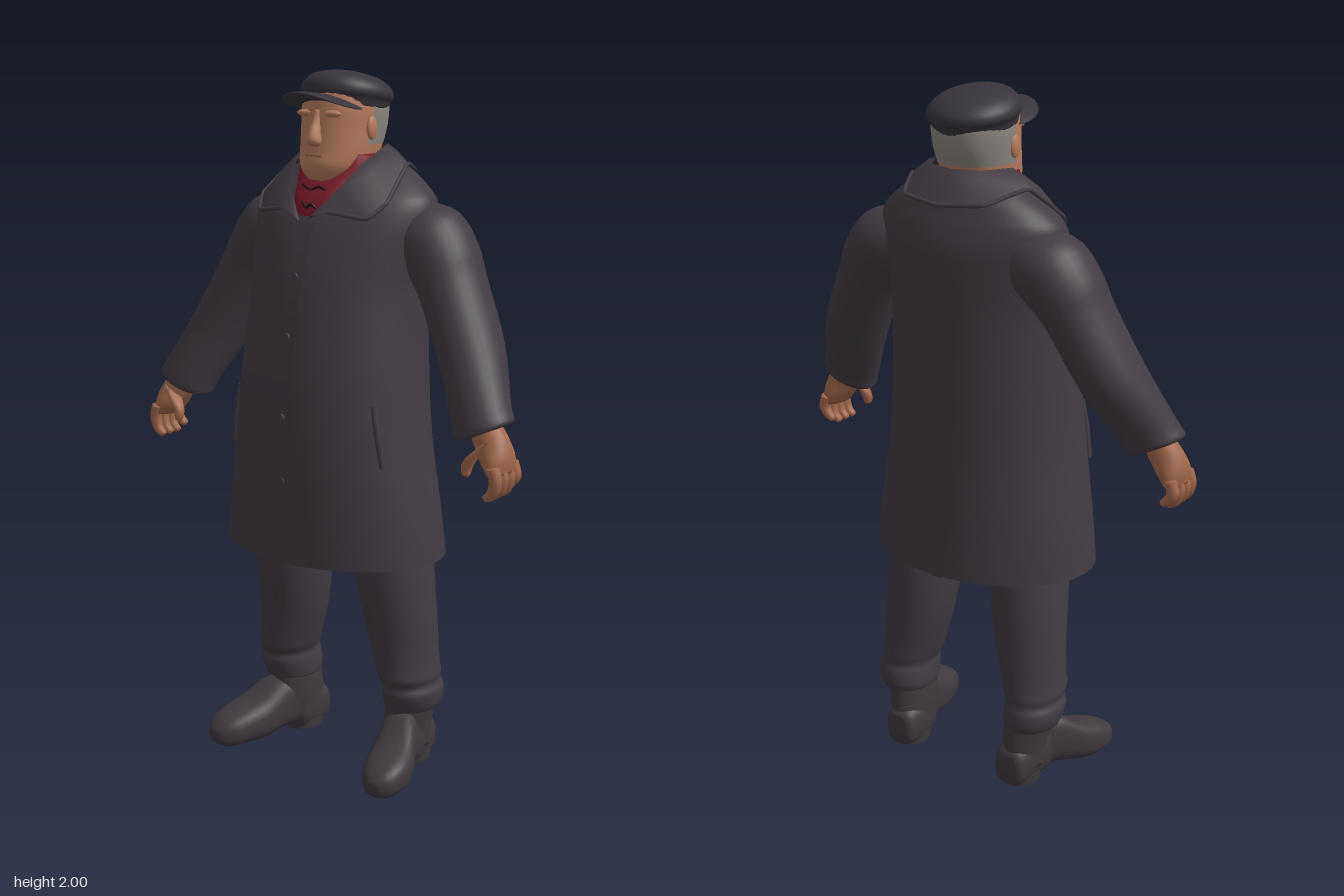
import * as THREE from 'three';

const mat = (name, color) => {
  const m = new THREE.MeshStandardMaterial({ color, side: THREE.DoubleSide });
  m.name = name;
  return m;
};
const M = {
  coat: mat('coat cloth', 0x423b42),
  trousers: mat('trouser cloth', 0x423b43),
  boots: mat('boot leather', 0x40393e),
  cap: mat('cap cloth', 0x38343b),
  face: mat('face skin', 0xb57a5e),
  hand: mat('hand skin', 0x9f674b),
  hair: mat('grey hair', 0x8b857e),
  scarf: mat('scarf red', 0x7c1c2c),
  dark: mat('scarf pattern', 0x2c1218),
};

// Indexed grid of points; winding is turned to face away from the centre.
function grid(rows, center, closed = false, cap = false) {
  const n = rows[0].length, pos = rows.flat().flatMap(p => p.toArray()), idx = [];
  for (let i = 0; i < rows.length - 1; i++)
    for (let j = 0; j < (closed ? n : n - 1); j++) {
      const k = (j + 1) % n, a = i * n + j, b = i * n + k, c = a + n, d = b + n;
      idx.push(a, b, d, a, d, c);
    }
  if (cap) [0, rows.length - 1].forEach((r, e) => {
    const mid = rows[r].reduce((s, p) => s.add(p), new THREE.Vector3()).divideScalar(n);
    const m = pos.length / 3;
    pos.push(...mid.toArray());
    for (let j = 0; j < n; j++) {
      const a = r * n + j, b = r * n + (j + 1) % n;
      idx.push(...(e ? [a, b, m] : [b, a, m]));
    }
  });
  const v = i => new THREE.Vector3().fromArray(pos, i * 3).sub(center);
  let vol = 0;
  for (let i = 0; i < idx.length; i += 3) vol += v(idx[i]).dot(v(idx[i + 1]).cross(v(idx[i + 2])));
  if (vol < 0) idx.reverse();
  const g = new THREE.BufferGeometry();
  g.setAttribute('position', new THREE.Float32BufferAttribute(pos, 3));
  g.setIndex(idx);
  g.computeVertexNormals();
  return g;
}

// Smooth loft through sections [x, y, z, radiusU, radiusV, tilt]
function loft(secs, { n = 28, e = 2, steps = 4, cap = true, arc = null, upright = false } = {}) {
  const S = i => secs[Math.max(0, Math.min(secs.length - 1, i))], rows = [];
  const center = new THREE.Vector3();
  secs.forEach(s => center.add(new THREE.Vector3(s[0], s[1], s[2]).divideScalar(secs.length)));
  for (let i = 0; i <= (secs.length - 1) * steps; i++) {
    const k = Math.floor(i / steps), t = i / steps - k;
    const [x, y, z, ru, rv, tilt] = [0, 1, 2, 3, 4, 5].map(c => {
      const [a, b, d, f] = [-1, 0, 1, 2].map(o => S(k + o)[c] || 0);
      return b + 0.5 * t * (d - a + t * (2 * a - 5 * b + 4 * d - f + t * (3 * (b - d) + f - a)));
    });
    const row = [], q = w => Math.sign(w) * Math.abs(w) ** (2 / e);
    for (let j = 0; j < n; j++) {
      const a = arc ? arc[0] + (arc[1] - arc[0]) * j / (n - 1) : j / n * Math.PI * 2;
      const u = ru * q(Math.cos(a)), w = rv * q(Math.sin(a));
      row.push(upright ? new THREE.Vector3(x + u, y + w, z)
        : new THREE.Vector3(x + u * Math.cos(tilt), y + u * Math.sin(tilt), z + w));
    }
    rows.push(row);
  }
  return grid(rows, center, !arc, cap && !arc);
}

export function createModel() {
  const root = new THREE.Group();
  root.name = 'man in overcoat';
  const add = (name, geo, material, parent = root) => {
    const m = new THREE.Mesh(geo, material);
    m.name = name;
    parent.add(m);
    return m;
  };
  const V = (x, y, z) => new THREE.Vector3(x, y, z);
  const tube = (pts, r) => new THREE.TubeGeometry(new THREE.CatmullRomCurve3(pts), 12, r, 8);

  // Coat body, open at the hem
  add('coatBody', loft([
    [0, .66, -.005, .345, .255], [0, .8, 0, .328, .25], [0, 1, .005, .297, .245],
    [0, 1.2, -.003, .278, .238], [0, 1.4, -.022, .265, .222], [0, 1.52, -.04, .275, .205],
    [0, 1.6, -.055, .285, .185], [0, 1.655, -.065, .28, .16], [0, 1.69, -.073, .25, .138],
    [0, 1.73, -.085, .195, .11], [0, 1.78, -.083, .115, .083]], { n: 48, cap: false }), M.coat);

  // Button placket and back vent as thin ribbons that follow the coat
  const ribbon = (name, pts, x0, x1) => {
    const p = new THREE.CatmullRomCurve3(pts).getPoints(24);
    add(name, grid([p.map(q => V(x0, q.y, q.z)), p.map(q => V(x1, q.y, q.z))], V(0, 1.1, 0)), M.coat);
  };
  ribbon('placket', [V(0, .66, .258), V(0, .8, .258), V(0, 1, .257), V(0, 1.2, .242),
    V(0, 1.4, .207), V(0, 1.52, .172), V(0, 1.6, .138)], -.012, .035);
  ribbon('backVent', [V(0, .66, -.266), V(0, .8, -.256), V(0, 1, -.246)], -.03, .006);
  [[.9, .258], [1.08, .258], [1.3, .232], [1.46, .195]].forEach(([y, z], i) => {
    const b = add('button' + (i + 1), new THREE.CylinderGeometry(.011, .011, .008, 12), M.coat);
    b.rotation.x = Math.PI / 2;
    b.position.set(.012, y, z);
  });

  // Turned-down collar: inner and outer edge of one half, then mirrored
  const inner = [[.01, 1.605, .146], [.08, 1.69, .092], [.115, 1.76, .022], [.125, 1.8, -.06], [.08, 1.8, -.14]];
  const outer = [[.08, 1.635, .137], [.185, 1.62, .102], [.215, 1.66, .052], [.19, 1.755, -.08], [.13, 1.725, -.2]];
  const edge = (half, back) => [...half.map(p => V(...p)), V(...back),
    ...half.slice().reverse().map(([x, y, z]) => V(-x, y, z))];
  const inEdge = edge(inner, [0, 1.8, -.165]), outEdge = edge(outer, [0, 1.715, -.228]);
  const fold = inEdge.map((p, i) => p.clone().lerp(outEdge[i], .35).add(V(0, .008, .004)));
  add('collar', grid([inEdge, fold, outEdge], V(0, 1.5, -.06)), M.coat);
  add('collarEdge', new THREE.TubeGeometry(new THREE.CatmullRomCurve3(outEdge, false, 'catmullrom', .1), 80, .006, 6), M.coat);

  // Scarf with a small dark pattern
  add('scarf', loft([[0, 1.59, .04, .05, .085], [0, 1.65, 0, .085, .113], [0, 1.7, -.03, .1, .113],
    [0, 1.75, -.05, .116, .1], [0, 1.78, -.055, .112, .092]], { e: 3.4 }), M.scarf);
  [[1.69, .09, .045], [1.645, .117, .025]].forEach(([y, z, w], i) =>
    add('scarfMark' + i, tube([V(-w, y + .008, z - .004), V(-w * .3, y - .006, z), V(w * .3, y + .004, z),
      V(w, y - .008, z - .004)], .004), M.dark));

  // Head, nose, ears and hair
  const skull = [[0, 1.68, -.035, .055, .065], [0, 1.715, -.015, .07, .1], [0, 1.75, -.015, .09, .115],
    [0, 1.79, -.028, .1, .12], [0, 1.85, -.04, .104, .124], [0, 1.9, -.045, .107, .124], [0, 1.95, -.047, .1, .117]];
  add('head', loft(skull, { e: 2.3 }), M.face);
  add('nose', loft([[0, 1.802, .085, .012, .01], [0, 1.815, .09, .022, .025], [0, 1.84, .088, .017, .024],
    [0, 1.87, .08, .012, .015], [0, 1.9, .072, .01, .01]], { n: 14 }), M.face);
  add('mouth', new THREE.BoxGeometry(.055, .005, .006), M.hand).position.set(0, 1.777, .092);
  add('hair', loft(skull.slice(3, 7).map(([x, y, z, a, b]) => [x, Math.max(y, 1.805), z, a + .005, b + .005]),
    { e: 2.3, arc: [Math.PI - .1, Math.PI * 2 + .1] }), M.hair);
  for (const s of [1, -1]) {
    const ear = add(s > 0 ? 'leftEar' : 'rightEar', new THREE.SphereGeometry(1, 14, 10), M.face);
    ear.scale.set(.01, .032, .02);
    ear.position.set(s * .108, 1.85, -.025);
    const brow = add(s > 0 ? 'leftBrow' : 'rightBrow', new THREE.SphereGeometry(1, 12, 8), M.face);
    brow.scale.set(.03, .01, .014);
    brow.position.set(s * .045, 1.89, .07);
  }

  // Flat cap, tipped slightly back
  const cap = new THREE.Group();
  cap.name = 'flatCap';
  cap.position.set(0, 1.903, -.052);
  cap.rotation.x = -.15;
  root.add(cap);
  add('capCrown', loft([[0, 0, 0, .112, .122], [0, .018, 0, .117, .126], [0, .035, 0, .126, .133],
    [0, .058, .002, .119, .126], [0, .08, .008, .09, .098], [0, .093, .014, .04, .045], [0, .094, .014, .008, .01]],
    { n: 36 }), M.cap);
  const brim = new THREE.SphereGeometry(1, 28, 14).scale(.108, .01, .125);
  const bp = brim.attributes.position;
  for (let i = 0; i < bp.count; i++) bp.setY(i, bp.getY(i) - 2.2 * bp.getX(i) ** 2);
  brim.computeVertexNormals();
  add('capBrim', brim, M.cap, cap).position.set(0, .012, .1);
  cap.add(root.getObjectByName('capCrown'));

  for (const s of [1, -1]) {
    const side = s > 0 ? 'left' : 'right';
    const L = (secs, o) => loft(secs.map(([x, y, z, a, b, t = 0]) => [x * s, y, z, a, b, t * s]), o);
    const P = (x, y, z) => V(x * s, y, z);

    // Sleeve with a slight cuff
    add(side + 'Sleeve', L([[.19, 1.59, -.085, .075, .095, 1.1], [.255, 1.56, -.085, .107, .115, .75],
      [.31, 1.5, -.08, .102, .115, .5], [.352, 1.43, -.07, .09, .11, .42], [.44, 1.26, -.035, .087, .105, .42],
      [.51, 1.12, .025, .085, .083, .42], [.53, 1.08, .038, .088, .077, .42], [.532, 1.073, .039, .07, .062, .42]]), M.coat);

    // Hand: palm, four curled fingers and a thumb
    add(side + 'Palm', L([[.537, 1.085, .042, .045, .04, .4], [.56, 1.05, .046, .048, .046, .35],
      [.582, 1.01, .05, .042, .058, .25], [.595, .975, .052, .026, .058, .15]], { n: 20 }), M.hand);
    for (let i = 0; i < 4; i++) {
      const z = .004 + i * .032, d = i === 0 ? .014 : 0;
      add(side + 'Finger' + (i + 1), L([[.597, 1, z, .017, .017, .2], [.607, .965, z, .018, .017, 0],
        [.598, .93 + d, z, .016, .015, -.5], [.578, .914 + d, z, .011, .012, -.9], [.572, .911 + d, z, .003, .003, -.9]],
        { n: 12 }), M.hand);
    }
    add(side + 'Thumb', L([[.56, 1.055, .075, .022, .022, .5], [.53, 1.02, .09, .021, .02, .3],
      [.515, .99, .096, .016, .016, 0], [.514, .968, .098, .011, .012, 0], [.514, .963, .098, .003, .003, 0]],
      { n: 12 }), M.hand);

    // Slanted pocket welt
    add(side + 'PocketWelt', tube([P(.235, 1.12, .133), P(.25, 1.04, .136), P(.265, .95, .13)], .009), M.coat);

    // Trouser leg with folds above the boot
    add(side + 'TrouserLeg', L([[.222, .185, -.085, .076, .092], [.225, .205, -.085, .082, .1],
      [.228, .24, -.078, .083, .106], [.225, .265, -.075, .077, .1], [.222, .29, -.068, .084, .109],
      [.214, .33, -.066, .088, .108], [.2, .42, -.062, .098, .113], [.187, .55, -.05, .103, .128],
      [.178, .68, -.04, .102, .14], [.165, .85, -.03, .1, .14]]), M.trousers);

    // Boot shaft and foot with a raised arch
    add(side + 'BootShaft', L([[.205, .05, -.095, .056, .075], [.205, .12, -.09, .06, .088],
      [.215, .21, -.085, .066, .085]]), M.boots);
    add(side + 'BootFoot', L([[.2, .06, -.185, .03, .04], [.2, .062, -.168, .05, .06], [.203, .075, -.1, .058, .075],
      [.21, .082, -.055, .058, .08], [.217, .1, -.04, .058, .08], [.235, .095, 0, .062, .079],
      [.262, .066, .07, .073, .063], [.279, .055, .13, .069, .053], [.287, .045, .18, .052, .041],
      [.291, .04, .205, .025, .022], [.292, .04, .21, .006, .006]], { e: 2.7, upright: true }), M.boots);
    const heel = add(side + 'BootHeel', new THREE.CylinderGeometry(.055, .052, .03, 20), M.boots);
    heel.position.set(s * .203, .015, -.11);
    heel.scale.z = 1.2;
  }
  return root;
}
